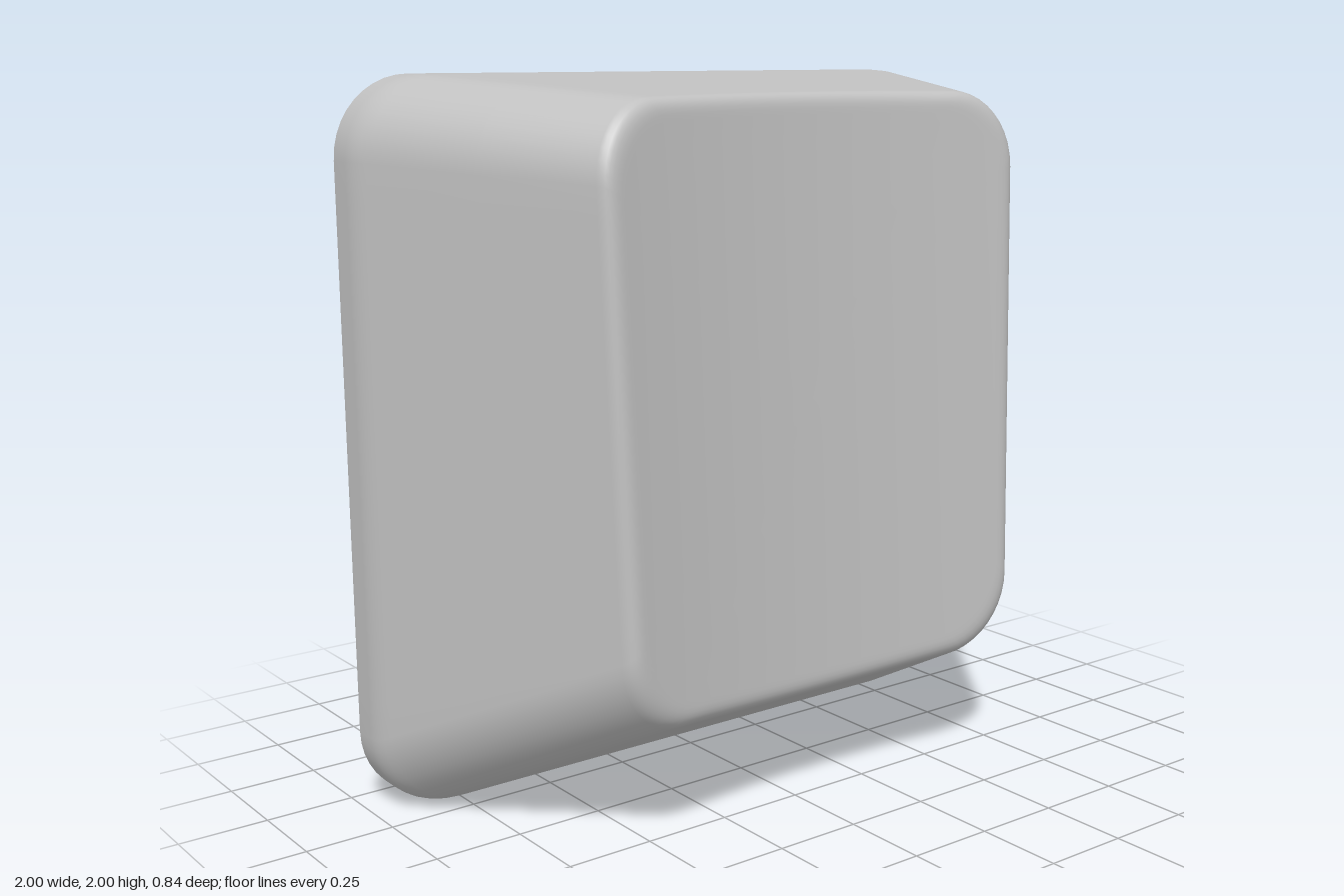
import * as THREE from 'three';
import { toCreasedNormals } from 'three/addons/utils/BufferGeometryUtils.js';

const BACK = -0.425, BEND = -0.325, FRONT = 0.4; // depth of rim, wall bend and reference front loop

// Rounded rectangle, counter-clockwise from the front, with a fixed point count
function roundedLoop(hw, y0, y1, r, z) {
  const arc = 10, straight = 16, corners = [];
  const centres = [[hw - r, y0 + r], [hw - r, y1 - r], [-hw + r, y1 - r], [-hw + r, y0 + r]];
  centres.forEach(([cx, cy], c) => {
    const pts = [];
    for (let i = 0; i <= arc; i++) {
      const a = (c - 1 + i / arc) * Math.PI / 2;
      pts.push(new THREE.Vector3(cx + r * Math.cos(a), cy + r * Math.sin(a), z));
    }
    corners.push(pts);
  });
  return corners.flatMap((pts, c) => {
    const next = corners[(c + 1) % 4][0], last = pts[arc];
    const side = [];
    for (let i = 1; i < straight; i++) side.push(last.clone().lerp(next, i / straight));
    return [...pts, ...side];
  });
}

// Skin a list of equally long loops; flip turns the surface inside out
function loft(rings, flip = false) {
  const n = rings[0].length, index = [];
  for (let j = 0; j < rings.length - 1; j++) {
    for (let i = 0; i < n; i++) {
      const a = j * n + i, b = j * n + (i + 1) % n, c = b + n, d = a + n;
      if (flip) index.push(a, c, b, a, d, c);
      else index.push(a, b, c, a, c, d);
    }
  }
  const geo = new THREE.BufferGeometry().setFromPoints(rings.flat());
  geo.setIndex(index);
  geo.computeVertexNormals();
  return geo;
}

// Tilted face, hollowed across its width
const dish = (x, y, drop) => 0.425 - 0.048 * (y - 0.5) - 0.08 * (1 - (x / 0.65) ** 2) - drop;

// Where each wall line from the bend loop through the front loop meets the dish
function meetDish(base, tip, drop) {
  return base.map((b, i) => {
    let t = 1;
    const p = new THREE.Vector3();
    for (let k = 0; k < 12; k++) {
      p.lerpVectors(b, tip[i], t);
      t = (dish(p.x, p.y, drop) - BEND) / (FRONT - BEND);
    }
    return p.lerpVectors(b, tip[i], t);
  });
}

const mix = (a, b, t) => a.map((p, i) => p.clone().lerp(b[i], t));

// Rounded transition between two loops around a corner loop
function fillet(a, corner, b, steps) {
  const rings = [];
  for (let k = 0; k <= steps; k++) {
    const t = k / steps;
    rings.push(mix(mix(a, corner, t), mix(corner, b, t), t));
  }
  return rings;
}

// Loop shrunk towards the middle of the face, lying on the dish
function shrink(loop, sx, sy, drop) {
  return loop.map(p => {
    const x = p.x * sx, y = 1.15 + (p.y - 1.15) * sy;
    return new THREE.Vector3(x, y, dish(x, y, drop));
  });
}

const faceRings = (loop, drop) =>
  [1, 0.98, 0.9, 0.8, 0.7, 0.6, 0.5, 0.4, 0.3, 0.2, 0.1, 0.001].map(s => shrink(loop, s, s, drop));

export function createModel() {
  const group = new THREE.Group();
  const plastic = new THREE.MeshStandardMaterial({ color: 0xc0c0c0 });
  plastic.name = 'grey plastic';
  const add = (name, geo) => {
    const mesh = new THREE.Mesh(geo, plastic);
    mesh.name = name;
    group.add(mesh);
  };

  // Outer shell: short straight skirt, sloping walls, softened edge and hollowed face
  const rimOuter = roundedLoop(1, 0, 2, 0.22, BACK);
  const bendOuter = roundedLoop(1, 0, 2, 0.22, BEND);
  const edge = meetDish(bendOuter, roundedLoop(0.665, 0.37, 1.942, 0.2, FRONT), 0);
  const faceEdge = shrink(edge, 0.94, 0.95, 0);
  add('outerShell', loft([
    rimOuter,
    ...fillet(mix(bendOuter, rimOuter, 0.35), bendOuter, mix(bendOuter, edge, 0.06), 4),
    mix(bendOuter, edge, 0.5),
    ...fillet(mix(bendOuter, edge, 0.95), edge, faceEdge, 6),
    ...faceRings(faceEdge, 0).slice(1),
  ]));

  // Inner walls and ceiling, meeting at a sharp edge
  const rimInner = roundedLoop(0.92, 0.08, 1.92, 0.14, BACK);
  const bendInner = roundedLoop(0.92, 0.08, 1.92, 0.14, BEND);
  const ceilingEdge = meetDish(bendInner, roundedLoop(0.585, 0.45, 1.862, 0.12, FRONT), 0.07);
  add('innerWalls', loft([
    rimInner,
    ...fillet(mix(bendInner, rimInner, 0.2), bendInner, mix(bendInner, ceilingEdge, 0.04), 3),
    mix(bendInner, ceilingEdge, 0.5),
    ceilingEdge,
  ], true));
  add('innerCeiling', loft(faceRings(ceilingEdge, 0.07), true));

  // Flat rim around the open back
  add('rim', loft([rimInner, rimOuter]));

  // Round stem with a cross-shaped socket
  const outline = new THREE.Shape().absarc(0, 0, 0.3, 0, Math.PI * 2);
  const w = 0.068, l = 0.228;
  const cross = [[l, w], [w, w], [w, l], [-w, l], [-w, w], [-l, w],
    [-l, -w], [-w, -w], [-w, -l], [w, -l], [w, -w], [l, -w]];
  outline.holes.push(new THREE.Path(cross.map(([x, y]) => new THREE.Vector2(x, y))));
  const stem = new THREE.ExtrudeGeometry(outline, { depth: 0.7, bevelEnabled: false, curveSegments: 32 });
  stem.translate(0, 1, -0.42);
  add('stem', toCreasedNormals(stem, 0.6));

  return group;
}
